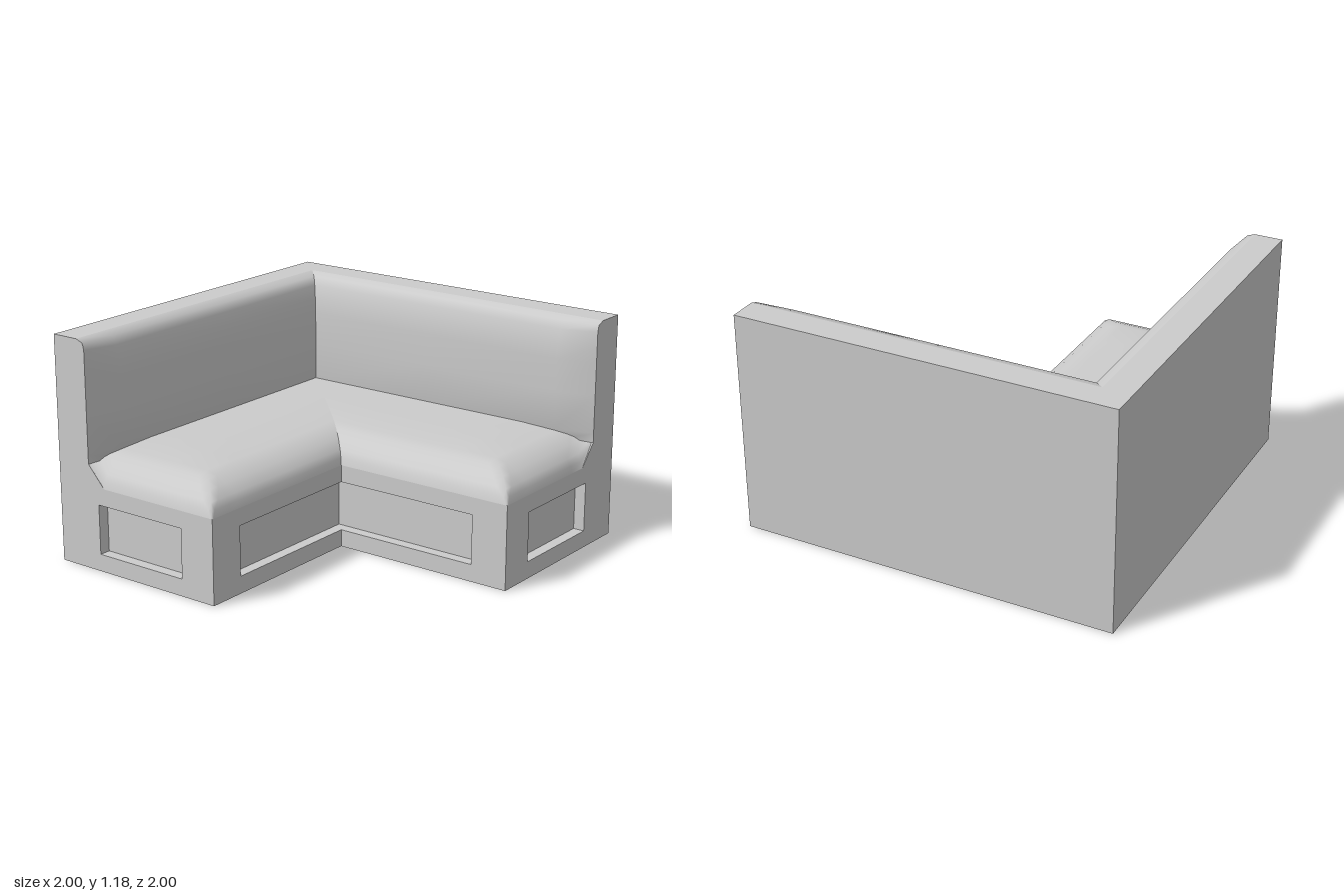
import * as THREE from 'three';

const material = new THREE.MeshStandardMaterial({ color: 0xcccccc });

// Smooth surface over a grid of points: point(i, j) returns [x, y, z]
function grid(nu, nv, point) {
  const pos = [], index = [];
  for (let j = 0; j < nv; j++) {
    for (let i = 0; i < nu; i++) {
      pos.push(...point(i, j));
      if (i < nu - 1 && j < nv - 1) {
        const a = j * nu + i, b = a + 1, c = a + nu, d = c + 1;
        index.push(a, b, d, a, d, c);
      }
    }
  }
  const g = new THREE.BufferGeometry();
  g.setAttribute('position', new THREE.Float32BufferAttribute(pos, 3));
  g.setIndex(index);
  g.computeVertexNormals();
  return g;
}

// Mirror across the corner diagonal: (x, z) -> (-z, -x), with winding reversed
function mirrored(source) {
  const g = source.clone();
  g.applyMatrix4(new THREE.Matrix4().set(0, 0, -1, 0, 0, 1, 0, 0, -1, 0, 0, 0, 0, 0, 0, 1));
  const n = g.index ? g.index.count : g.attributes.position.count;
  const index = [];
  for (let i = 0; i < n; i++) index.push(g.index ? g.index.getX(i) : i);
  g.setIndex(index.reverse());
  return g;
}

const shapeOf = (points) => new THREE.Shape(points.map(([x, y]) => new THREE.Vector2(x, y)));

export function createModel() {
  const model = new THREE.Group();
  const add = (name, geometry) => {
    const mesh = new THREE.Mesh(geometry, material);
    mesh.name = name;
    model.add(mesh);
  };
  const addPair = (name, geometry) => {
    add(name + 'Left', geometry);
    add(name + 'Back', mirrored(geometry));
  };

  // Base: L-shaped slabs, the middle one notched to leave the recessed panels
  const plain = [[-1, -1], [1, -1], [1, 1], [0, 1], [0, 0], [-1, 0]];
  const notched = [
    [-1, -1], [1, -1], [1, 1],
    [0.74, 1], [0.74, 0.94], [0.2, 0.94], [0.2, 1],
    [0, 1], [0, 0.8], [0.06, 0.8], [0.06, -0.06], [-0.8, -0.06], [-0.8, 0], [-1, 0],
    [-1, -0.2], [-0.94, -0.2], [-0.94, -0.74], [-1, -0.74],
  ];
  const slab = (name, plan, y0, y1) => {
    const g = new THREE.ExtrudeGeometry(shapeOf(plan.map(([x, z]) => [x, -z])),
      { depth: y1 - y0, bevelEnabled: false });
    add(name, g.rotateX(-Math.PI / 2).translate(0, y0, 0));
  };
  slab('baseBottom', plain, 0, 0.09);
  slab('basePanels', notched, 0.09, 0.35);
  slab('baseTop', plain, 0.35, 0.44);

  // Backrest walls with a softened inner top edge
  const wall = new THREE.ExtrudeGeometry(shapeOf([
    [0.7, 0.44], [1, 0.44], [1, 1.18], [0.85, 1.18],
    [0.81, 1.165], [0.805, 1.15], [0.8, 1.13], [0.8, 0.55],
  ]), { depth: 2, bevelEnabled: false });
  addPair('backrestWall', wall.translate(0, 0, -1));

  // Seat: rounded over along its open edges, mitred at the corners
  const edge = [[0, 0.44], [0.01, 0.475], [0.03, 0.51], [0.08, 0.55], [0.14, 0.575], [0.2, 0.59], [0.4, 0.6]];
  const height = (d) => {
    for (let i = 1; i < edge.length; i++) {
      const [d0, h0] = edge[i - 1], [d1, h1] = edge[i];
      if (d <= d1) return h0 + (h1 - h0) * (d - d0) / (d1 - d0);
    }
    return 0.6;
  };
  const steps = edge.map((p) => p[0]);
  const xs = [...steps, 0.6, 0.7, 0.8];
  const ends = [...steps, 0.6, 1];
  addPair('seat', grid(xs.length, ends.length + 1, (i, j) => {
    const x = xs[i];
    const z = j < ends.length ? 1 - ends[j] : -x;
    // the end edge lifts where it runs into the backrest
    const lift = 0.44 + 0.11 * Math.max(0, (x - 0.7) / 0.1);
    return [x, Math.max(height(Math.min(x, 1 - z)), lift), z];
  }));

  // Back cushions: bulge out of the wall and flatten towards the open end
  const full = [[0.79, 0.53], [0.748, 0.6], [0.745, 0.8], [0.745, 0.97], [0.755, 1.05],
    [0.772, 1.12], [0.795, 1.163], [0.85, 1.18]];
  const flat = [[0.8, 0.53], [0.8, 0.6], [0.8, 0.8], [0.8, 0.97], [0.8, 1.05],
    [0.8, 1.13], [0.81, 1.165], [0.85, 1.18]];
  addPair('backCushion', grid(4, full.length, (i, j) => {
    const [x, y] = i < 3 ? full[j] : flat[j];
    return [x, y, [-x, 0, 0.8, 1][i]];
  }));

  return model;
}
